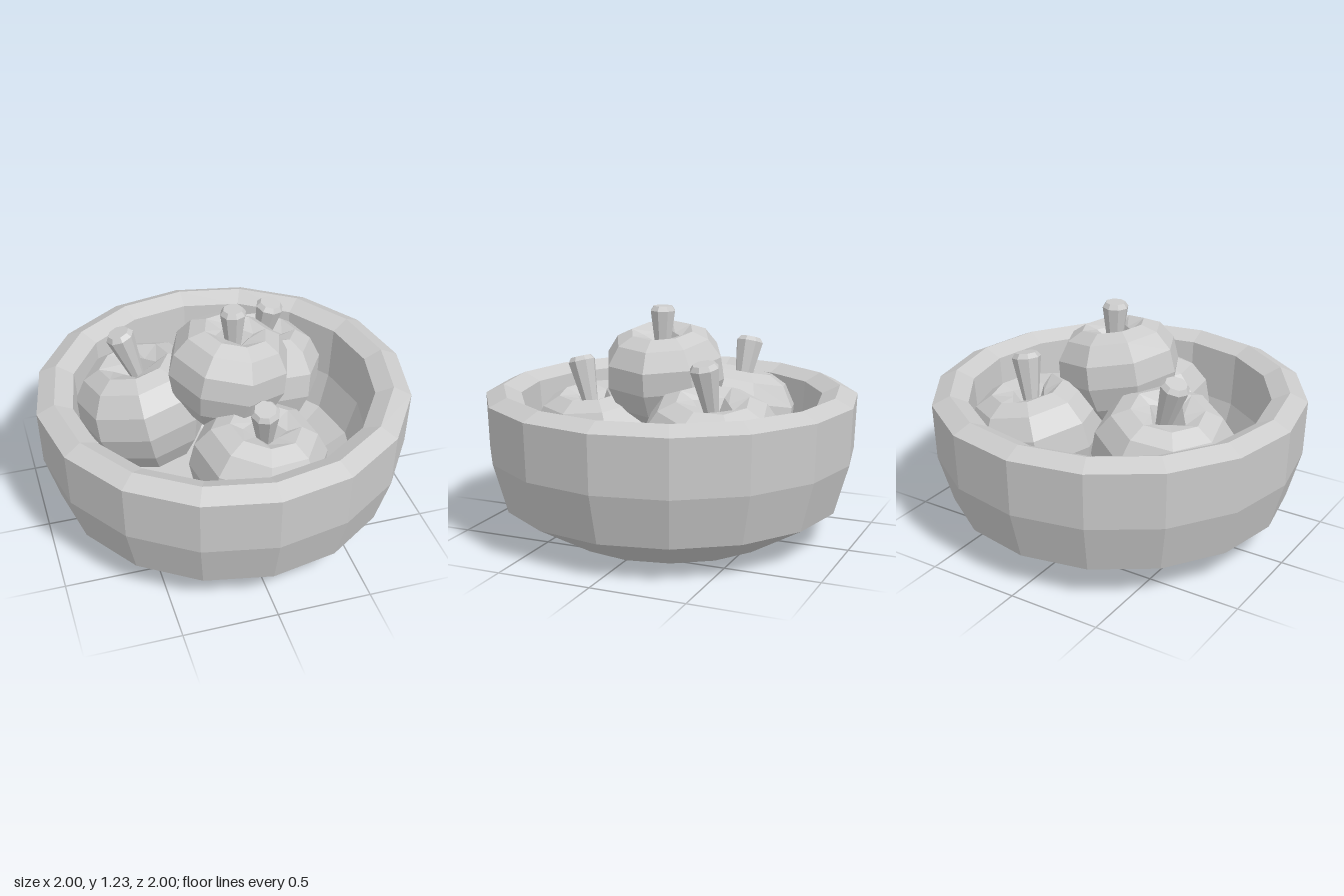
import * as THREE from 'three';

const material = new THREE.MeshStandardMaterial({ color: 0xcccccc, flatShading: true });
const UP = new THREE.Vector3(0, 1, 0);

// Faceted solid of revolution; profile runs up the outside, then inward.
function turned(name, profile, sides, reshape) {
  const lathe = new THREE.LatheGeometry(profile.map(([r, y]) => new THREE.Vector2(r, y)), sides);
  if (reshape) reshape(lathe.attributes.position, profile.length);
  const geometry = lathe.toNonIndexed();
  geometry.computeVertexNormals();
  const mesh = new THREE.Mesh(geometry, material);
  mesh.name = name;
  return mesh;
}

function createBowl() {
  return turned('bowl', [
    [0, 0], [0.59, 0], [0.915, 0.19], [0.99, 0.455], [1, 0.755],
    [0.905, 0.8], [0.81, 0.755],
    [0.79, 0.46], [0.73, 0.26], [0.47, 0.1], [0, 0.1],
  ], 16);
}

// Eight-sided apple whose stem hollow narrows to a square.
function createAppleBody() {
  const profile = [
    [0, -0.27], [0.1, -0.3], [0.2, -0.26], [0.285, -0.15], [0.33, -0.02],
    [0.32, 0.1], [0.255, 0.195], [0.17, 0.235], [0.105, 0.205], [0.02, 0.1], [0, 0.1],
  ];
  return turned('appleBody', profile, 8, (pos, rings) => {
    for (let i = 0; i < pos.count; i++) {
      const ring = i % rings, segment = Math.floor(i / rings);
      if (ring >= 8 && segment % 2) {
        pos.setX(i, pos.getX(i) * Math.SQRT1_2);
        pos.setZ(i, pos.getZ(i) * Math.SQRT1_2);
      }
    }
  });
}

// Flared stem between two points, with a bevelled end.
function createStem(base, tip, scale) {
  const from = new THREE.Vector3(...base);
  const axis = new THREE.Vector3(...tip).sub(from);
  const length = axis.length(), s = scale;
  const stem = turned('appleStem', [
    [0, 0], [0.033 * s, 0], [0.069 * s, length - 0.025], [0.052 * s, length], [0, length],
  ], 8);
  stem.position.copy(from);
  stem.quaternion.setFromUnitVectors(UP, axis.normalize());
  return stem;
}

export function createModel() {
  const model = new THREE.Group();
  model.name = 'bowlOfApples';
  model.add(createBowl());

  // Each apple: centre, leaning axis, spin, size and stem ends.
  const apples = [
    { name: 'topApple', at: [0.02, 0.87, 0.03], axis: [0.17, 1, 0], spin: 0.06, size: 1,
      base: [0.05, 0.95, 0.03], tip: [0.045, 1.23, 0.03] },
    { name: 'rightApple', at: [-0.39, 0.57, -0.2], axis: [-0.17, 1, -0.12], spin: -0.15, size: 1.12,
      base: [-0.41, 0.72, -0.25], tip: [-0.5, 1, -0.27] },
    { name: 'leftApple', at: [0.295, 0.56, -0.345], axis: [0.17, 1, -0.1], spin: -0.15, size: 1.12,
      base: [0.32, 0.72, -0.36], tip: [0.37, 1, -0.33] },
    { name: 'frontApple', at: [0.075, 0.5, 0.4], axis: [0.13, 1, 0.06], spin: -0.18, size: 1.1,
      base: [0.1, 0.64, 0.43], tip: [0.07, 0.93, 0.51] },
  ];
  for (const { name, at, axis, spin, size, base, tip } of apples) {
    const apple = new THREE.Group();
    apple.name = name;
    const body = createAppleBody();
    body.position.set(...at);
    body.scale.setScalar(size);
    body.quaternion.setFromUnitVectors(UP, new THREE.Vector3(...axis).normalize());
    body.rotateY(spin);
    apple.add(body, createStem(base, tip, size));
    model.add(apple);
  }
  return model;
}
